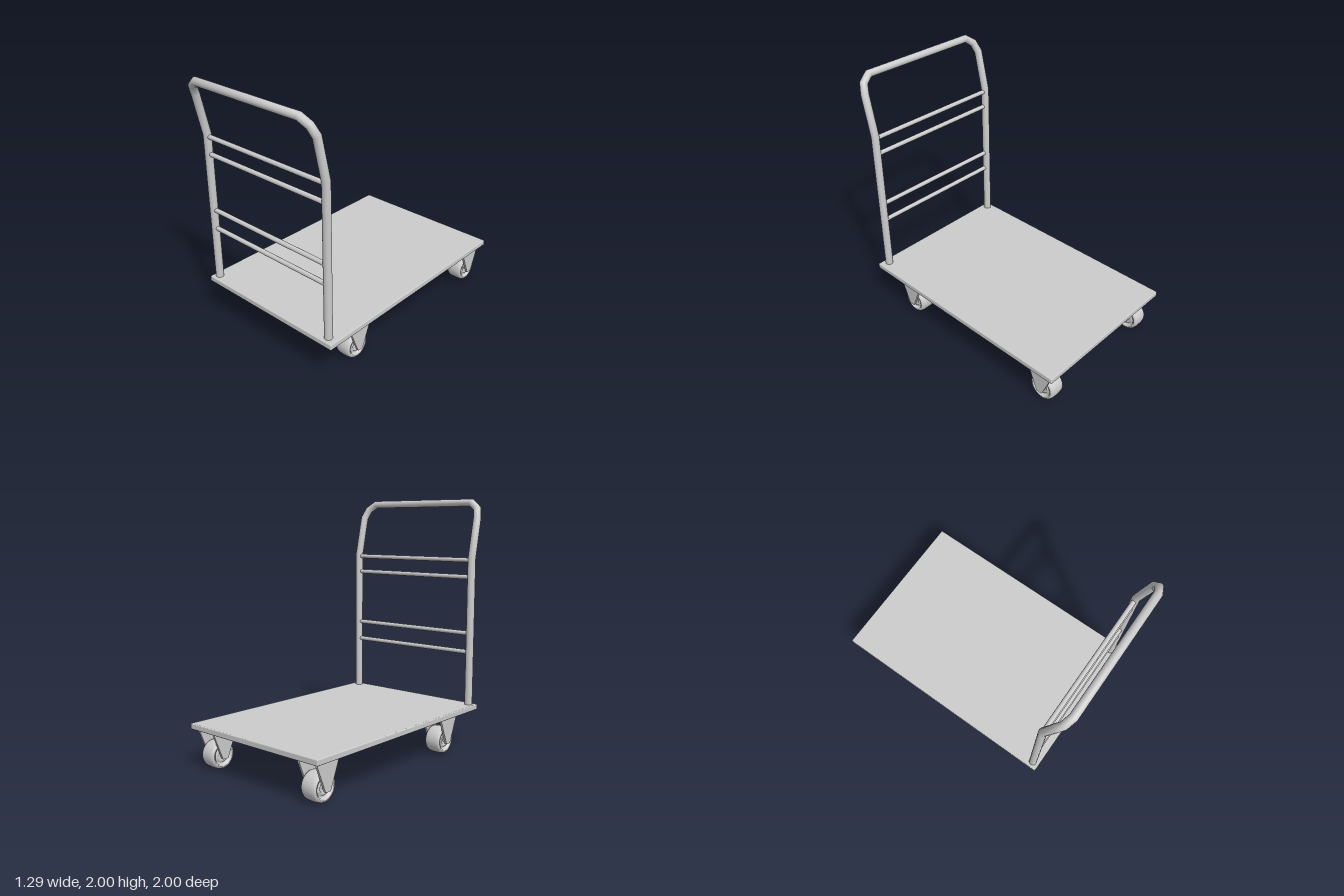
import * as THREE from 'three';
import { RoundedBoxGeometry } from 'three/addons/geometries/RoundedBoxGeometry.js';

const material = new THREE.MeshStandardMaterial({ color: 0xcccccc });
const V = (x, y, z) => new THREE.Vector3(x, y, z);

function add(parent, name, geometry, x = 0, y = 0, z = 0) {
  const mesh = new THREE.Mesh(geometry, material);
  mesh.name = name;
  mesh.position.set(x, y, z);
  parent.add(mesh);
  return mesh;
}

// Polyline with one tube ring per point, mitred at each bend
class BentPath extends THREE.Curve {
  constructor(points) {
    super();
    this.points = points;
  }
  getPoint(t, target = V(0, 0, 0)) {
    return target.copy(this.points[Math.round(t * (this.points.length - 1))]);
  }
  getPointAt(u, target) {
    return this.getPoint(u, target);
  }
  getTangentAt(u, target = V(0, 0, 0)) {
    const p = this.points, i = Math.round(u * (p.length - 1));
    target.set(0, 0, 0);
    if (i > 0) target.add(p[i].clone().sub(p[i - 1]).normalize());
    if (i < p.length - 1) target.add(p[i + 1].clone().sub(p[i]).normalize());
    return target.normalize();
  }
}

// Bar lying along x
function barX(radius, length, sides = 16) {
  return new THREE.CylinderGeometry(radius, radius, length, sides).rotateZ(Math.PI / 2);
}

// Wheel: rounded tyre with recessed, ringed hub faces, axis along x
function wheelGeometry() {
  const side = [[0.001, 0.045], [0.035, 0.045], [0.038, 0.052], [0.052, 0.052], [0.056, 0.042],
    [0.07, 0.042], [0.074, 0.06], [0.084, 0.064]];
  const tread = [];
  for (let i = 0; i <= 8; i++) {
    const a = Math.PI / 2 - (i / 8) * Math.PI;
    const s = Math.sin(a), c = Math.cos(a);
    tread.push([0.086 + 0.021 * Math.pow(Math.abs(c), 0.6), 0.064 * Math.sign(s) * Math.pow(Math.abs(s), 0.8)]);
  }
  const profile = [...side, ...tread, ...side.slice().reverse().map(([r, h]) => [r, -h])];
  const points = profile.reverse().map(([r, h]) => new THREE.Vector2(r, h));
  return new THREE.LatheGeometry(points, 32).rotateZ(Math.PI / 2);
}

// Tapered fork cheek, thin along x
function cheekGeometry() {
  const outline = [[-0.1, 0.3], [-0.1, 0.275], [-0.03, 0.1], [-0.022, 0.085],
    [0.022, 0.085], [0.03, 0.1], [0.1, 0.275], [0.1, 0.3]];
  const shape = new THREE.Shape(outline.map(([z, y]) => new THREE.Vector2(z, y)));
  return new THREE.ExtrudeGeometry(shape, { depth: 0.018, bevelEnabled: false })
    .translate(0, 0, -0.009).rotateY(Math.PI / 2);
}

function createCaster() {
  const caster = new THREE.Group();
  caster.name = 'caster';
  add(caster, 'casterPlate', new THREE.BoxGeometry(0.18, 0.018, 0.2), 0, 0.291, 0);
  for (const s of [-1, 1]) add(caster, 'forkCheek', cheekGeometry(), s * 0.081, 0, 0);
  add(caster, 'axle', barX(0.014, 0.165, 12), 0, 0.107, 0);
  add(caster, 'wheel', wheelGeometry(), 0, 0.107, 0);
  return caster;
}

export function createModel() {
  const model = new THREE.Group();
  model.name = 'platformTrolley';

  // Load deck
  add(model, 'deck', new RoundedBoxGeometry(1.29, 0.045, 1.9, 2, 0.008), 0, 0.3225, -0.05);

  // Bent push handle, leaning outward above the upper rung
  const cx = -0.01;
  const half = [[0.582, 0.335, 0.845], [0.582, 1.53, 0.845], [0.58, 1.85, 0.915],
    [0.556, 1.922, 0.948], [0.49, 1.969, 0.97]];
  const path = [
    ...half.map(([x, y, z]) => V(cx - x, y, z)),
    ...half.slice().reverse().map(([x, y, z]) => V(cx + x, y, z)),
  ];
  add(model, 'handle', new THREE.TubeGeometry(new BentPath(path), path.length - 1, 0.031, 20, false));

  // Cross rungs between the uprights
  for (const y of [0.775, 0.928, 1.38, 1.515]) add(model, 'rung', barX(0.018, 1.14), cx, y, 0.845);

  // Four casters
  for (const x of [-0.513, 0.513]) {
    for (const z of [0.545, -0.855]) {
      const caster = createCaster();
      caster.position.set(x, 0, z);
      model.add(caster);
    }
  }
  return model;
}
